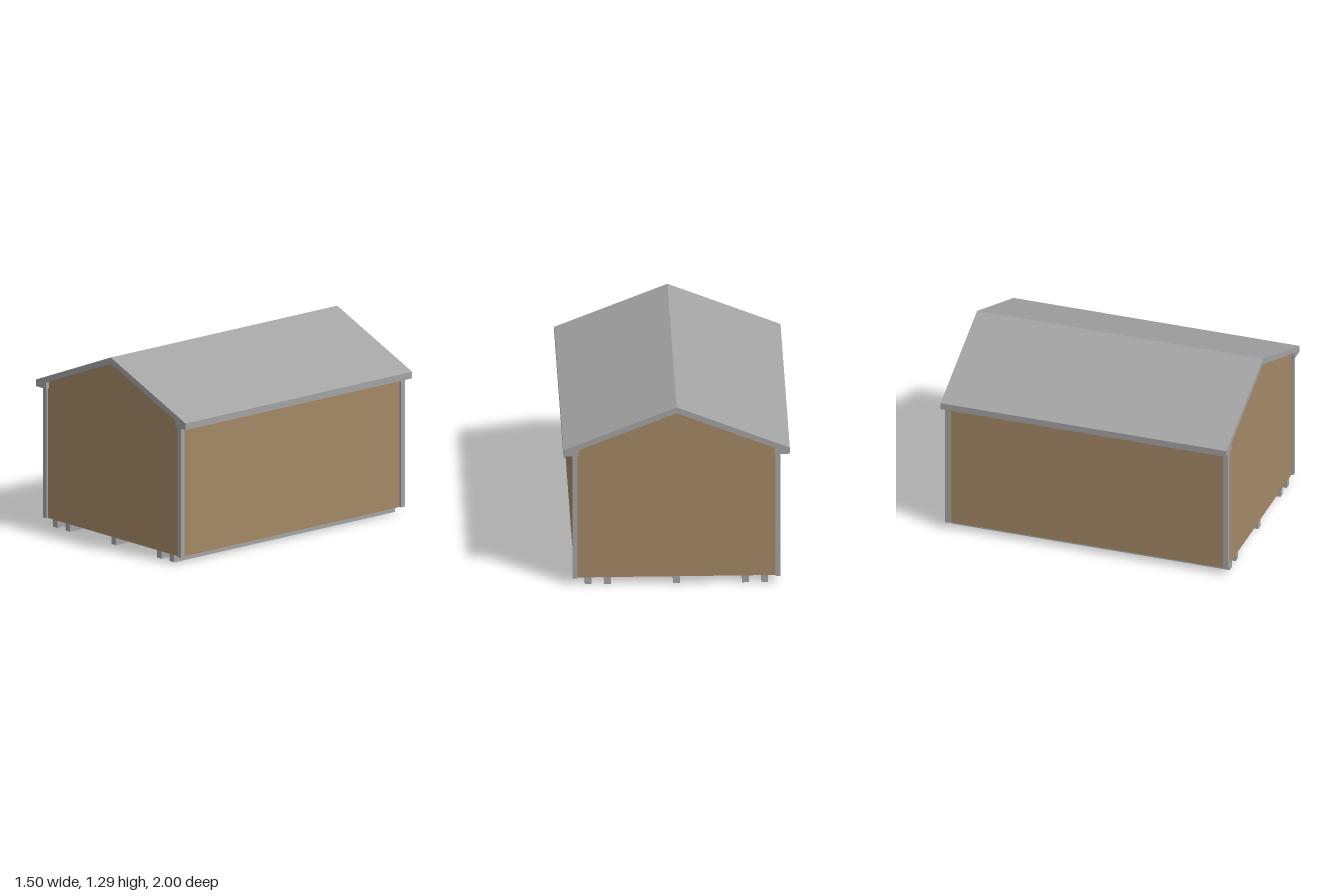
import * as THREE from 'three';

const WALL_X = 0.675, WALL_Z = 0.975, BASE_Y = 0.05, EAVE_Y = 0.94;

function shapeOf(points) {
  return new THREE.Shape(points.map(([x, y]) => new THREE.Vector2(x, y)));
}

export function createModel() {
  const model = new THREE.Group();
  model.name = 'shed';
  const wood = new THREE.MeshStandardMaterial({ name: 'woodPanel', color: 0xa48865, side: THREE.DoubleSide });
  const grey = new THREE.MeshStandardMaterial({ name: 'greyTrim', color: 0xa3a3a3 });

  function add(parent, name, geometry, material) {
    const mesh = new THREE.Mesh(geometry, material);
    mesh.name = name;
    parent.add(mesh);
    return mesh;
  }

  // Thin shell open at the bottom: gables, side walls and sloped ceiling
  const shell = new THREE.Group();
  shell.name = 'shell';
  model.add(shell);
  const profile = [
    [WALL_X, BASE_Y], [WALL_X, 0.968], [0, 1.242], [-WALL_X, 0.973], [-WALL_X, BASE_Y],
  ];
  const gable = new THREE.ShapeGeometry(shapeOf(profile));
  add(shell, 'frontGable', gable, wood).position.z = WALL_Z;
  const back = gable.clone().scale(-1, 1, 1).rotateY(Math.PI);
  back.dispose();
  const backGable = add(shell, 'backGable', gable.clone(), wood);
  backGable.position.z = -WALL_Z;

  const panelNames = ['leftWall', 'leftCeiling', 'rightCeiling', 'rightWall'];
  panelNames.forEach((name, i) => {
    const [ax, ay] = profile[i], [bx, by] = profile[i + 1];
    const panel = new THREE.BufferGeometry();
    panel.setAttribute('position', new THREE.Float32BufferAttribute([
      ax, ay, WALL_Z, ax, ay, -WALL_Z, bx, by, -WALL_Z, bx, by, WALL_Z,
    ], 3));
    panel.setIndex([0, 1, 2, 0, 2, 3]);
    panel.computeVertexNormals();
    add(shell, name, panel, wood);
  });

  // Gabled roof with boxed eaves
  const roof = new THREE.ExtrudeGeometry(shapeOf([
    [0.75, EAVE_Y], [0.75, 0.985], [0, 1.287], [-0.75, 0.985], [-0.75, EAVE_Y],
    [-0.648, EAVE_Y], [-0.648, 0.985], [0, 1.244], [0.648, 0.985], [0.648, EAVE_Y],
  ]), { depth: 2, bevelEnabled: false });
  add(model, 'roof', roof.translate(0, 0, -1), grey);

  // L-shaped trim wrapped around each corner
  const outX = 0.69, outZ = 0.99, inX = 0.655, inZ = 0.955;
  for (const sx of [-1, 1]) {
    for (const sz of [-1, 1]) {
      const corner = shapeOf([
        [outX, outZ], [inX, outZ], [inX, WALL_Z], [WALL_X, WALL_Z], [WALL_X, inZ], [outX, inZ],
      ].map(([x, z]) => [sx * x, -sz * z]));
      const trim = new THREE.ExtrudeGeometry(corner, { depth: EAVE_Y - BASE_Y, bevelEnabled: false });
      trim.rotateX(-Math.PI / 2).translate(0, BASE_Y, 0);
      add(model, 'cornerTrim', trim, grey);
    }
  }

  // Floor runners
  for (const x of [-0.585, -0.457, 0, 0.457, 0.585]) {
    const runner = new THREE.BoxGeometry(0.045, BASE_Y, 2 * WALL_Z);
    add(model, 'floorRunner', runner, grey).position.set(x, BASE_Y / 2, 0);
  }

  return model;
}
